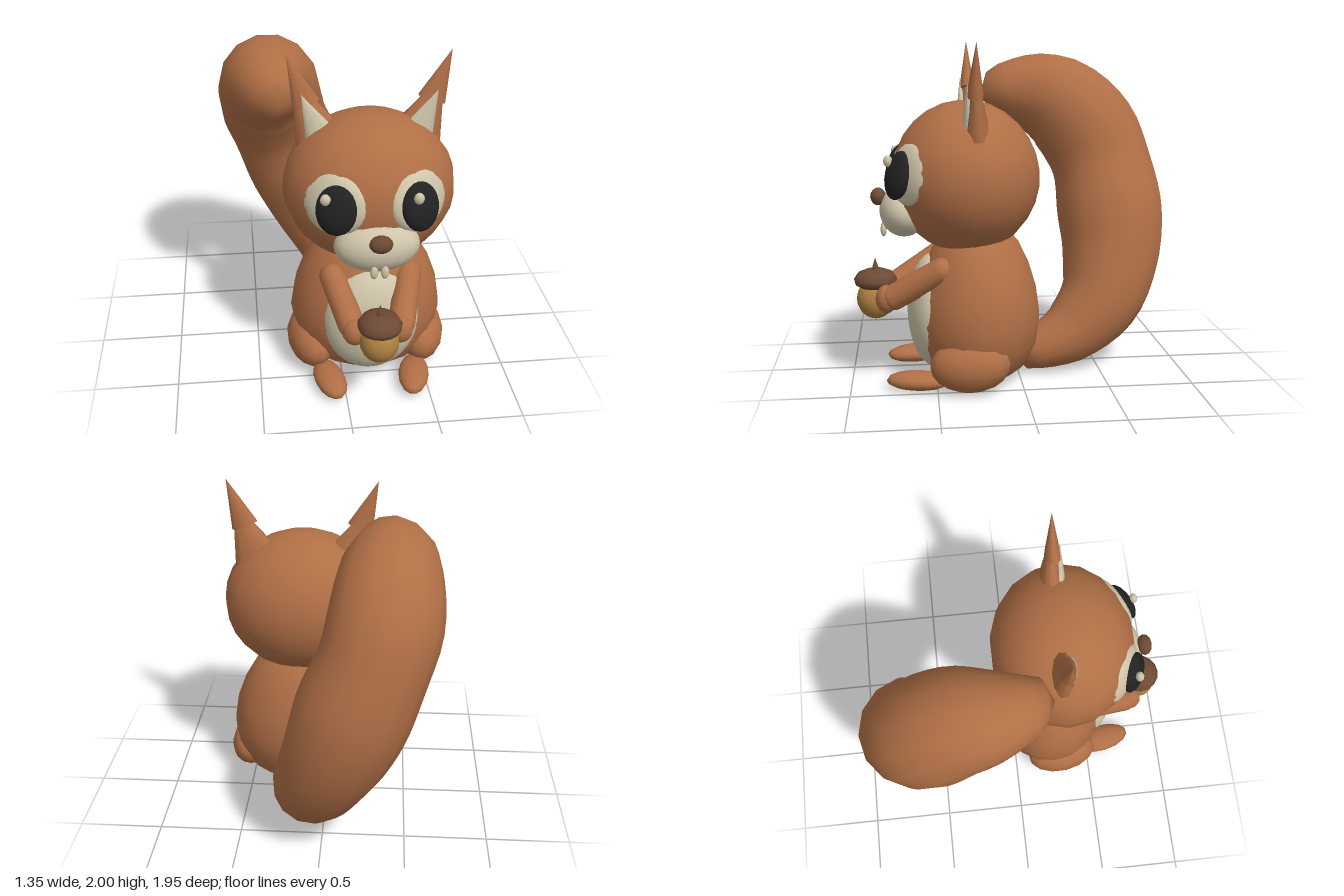
import * as THREE from 'three';
import { mergeVertices } from 'three/addons/utils/BufferGeometryUtils.js';

const material = (name, color) => {
  const m = new THREE.MeshStandardMaterial({ color });
  m.name = name;
  return m;
};

export function createModel() {
  const fur = material('russet fur', 0xb06f46);
  const cream = material('cream', 0xcfc5aa);
  const black = material('eye black', 0x222223);
  const brown = material('dark brown', 0x6d4a34);
  const nutColor = material('nut ochre', 0xae8040);

  const model = new THREE.Group();
  model.name = 'squirrel';
  const body = new THREE.Group();
  body.name = 'bodyParts';
  body.position.x = 0.168; // the tail leans to one side, so the body sits off centre
  model.add(body);

  const add = (name, geometry, mat, pos = [0, 0, 0], parent = body) => {
    const mesh = new THREE.Mesh(geometry, mat);
    mesh.name = name;
    mesh.position.set(...pos);
    parent.add(mesh);
    return mesh;
  };
  // Rotation is yaw first, then tilt
  const ellipsoid = (name, mat, pos, radii, rot = [0, 0, 0], w = 18, h = 12) => {
    const mesh = add(name, new THREE.SphereGeometry(1, w, h), mat, pos);
    mesh.scale.set(...radii);
    mesh.rotation.set(...rot, 'YXZ');
    return mesh;
  };
  // Flattened cone leaning from its base centre to its tip
  const cone = (name, mat, base, tip, radius, flat) => {
    const a = new THREE.Vector3(...base), b = new THREE.Vector3(...tip);
    const length = a.distanceTo(b);
    const g = new THREE.ConeGeometry(radius, length, 10).translate(0, length / 2, 0).scale(1, 1, flat);
    const mesh = add(name, g, mat, base);
    mesh.quaternion.setFromUnitVectors(new THREE.Vector3(0, 1, 0), b.sub(a).normalize());
  };

  // Torso
  const torso = [[0, 0.01], [0.15, 0.015], [0.28, 0.04], [0.365, 0.1], [0.435, 0.23], [0.46, 0.38], [0.435, 0.54],
    [0.38, 0.69], [0.305, 0.82], [0.2, 0.92], [0, 0.97]].map(p => new THREE.Vector2(...p));
  add('torso', new THREE.LatheGeometry(torso, 20), fur, [0, 0, 0.25]).scale.z = 0.825;
  ellipsoid('belly', cream, [0, 0.415, 0.51], [0.287, 0.342, 0.157], [0, 0, 0], 24, 16);

  // Head and face
  ellipsoid('head', fur, [0, 1.217, 0.31], [0.5, 0.449, 0.435], [0.1, 0, 0], 18, 14);
  ellipsoid('muzzle', cream, [0, 1.022, 0.675], [0.242, 0.152, 0.145], [0, 0, 0], 20, 14);
  ellipsoid('nose', brown, [0, 1.105, 0.825], [0.066, 0.052, 0.046], [0, 0, 0], 12, 8);

  for (const s of [-1, 1]) {
    const side = s > 0 ? 'left' : 'right';
    ellipsoid(side + 'Tooth', cream, [s * 0.03, 0.912, 0.797], [0.023, 0.041, 0.018], [0, 0, 0], 8, 6);

    // Eyes
    ellipsoid(side + 'EyeWhite', cream, [s * 0.228, 1.265, 0.633], [0.19, 0.18, 0.07], [-0.15, s * 0.53, 0], 20, 14);
    ellipsoid(side + 'Pupil', black, [s * 0.23, 1.26, 0.703], [0.12, 0.14, 0.055], [-0.25, s * 0.5, 0], 18, 12);
    ellipsoid(side + 'EyeGlint', cream, s < 0 ? [-0.29, 1.338, 0.725] : [0.21, 1.338, 0.76],
      [0.03, 0.034, 0.026], [0, 0, 0], 8, 6);

    // Ears with tufted tips
    cone(side + 'Ear', fur, [s * 0.28, 1.506, 0.265], [s * 0.42, 1.86, 0.275], 0.15, 0.5);
    cone(side + 'InnerEar', cream, [s * 0.275, 1.53, 0.312], [s * 0.382, 1.78, 0.32], 0.094, 0.42);
    cone(side + 'EarTuft', fur, [s * 0.354, 1.71, 0.277], [s * 0.458, 2, 0.275], 0.083, 0.58);

    // Arms and paws
    const a = new THREE.Vector3(s * 0.225, 0.7, 0.47), b = new THREE.Vector3(s * 0.145, 0.535, 0.74);
    const arm = add(side + 'Arm', new THREE.CapsuleGeometry(0.078, a.distanceTo(b), 5, 12), fur,
      a.clone().lerp(b, 0.5).toArray());
    arm.quaternion.setFromUnitVectors(new THREE.Vector3(0, 1, 0), b.clone().sub(a).normalize());
    ellipsoid(side + 'Paw', fur, [s * 0.13, 0.52, 0.785], [0.074, 0.084, 0.066], [0, 0, 0], 12, 8);

    // Legs, toes turned slightly inwards
    ellipsoid(side + 'Thigh', fur, [s * 0.345, 0.172, 0.313], [0.142, 0.157, 0.234], [0.06, s * -0.15, s * 0.12], 14, 10);
    ellipsoid(side + 'Foot', fur, [s * 0.255, 0.06, 0.612], [0.092, 0.055, 0.187], [0, s * -0.2, 0], 14, 8);
  }

  // Acorn
  ellipsoid('acornNut', nutColor, [0, 0.49, 0.852], [0.113, 0.12, 0.113], [0, 0, 0], 16, 12);
  const cap = [[0, 0.565], [0.095, 0.565], [0.12, 0.582], [0.127, 0.612], [0.105, 0.647], [0.06, 0.666], [0, 0.672]];
  add('acornCap', new THREE.LatheGeometry(cap.map(p => new THREE.Vector2(...p)), 16), brown, [0, 0, 0.852]);
  add('acornStem', new THREE.ConeGeometry(0.024, 0.08, 8), brown, [0, 0.7, 0.852]);

  // Bushy tail: a tube whose rings swell and taper; each row is x, y, z, radius
  const rows = [
    [0.17, 0.125, 0.04, 0.08], [0.165, 0.13, -0.04, 0.112], [0.15, 0.172, -0.2, 0.155], [0.105, 0.25, -0.365, 0.203],
    [0.03, 0.43, -0.54, 0.262], [-0.085, 0.69, -0.622, 0.312], [-0.18, 0.94, -0.63, 0.338],
    [-0.285, 1.21, -0.595, 0.32], [-0.345, 1.42, -0.51, 0.328], [-0.365, 1.585, -0.36, 0.31],
    [-0.38, 1.66, -0.2, 0.274], [-0.365, 1.685, -0.03, 0.21], [-0.335, 1.68, 0.1, 0.148], [-0.33, 1.66, 0.19, 0.075],
  ];
  const path = new THREE.CatmullRomCurve3(rows.map(r => new THREE.Vector3(r[0], r[1], r[2])), false, 'catmullrom', 0.5);
  const swell = new THREE.SplineCurve(rows.map(r => new THREE.Vector2(r[3], 0)));
  const rings = 36, sides = 14;
  let tail = new THREE.TubeGeometry(path, rings, 1, sides);
  const pos = tail.attributes.position, v = new THREE.Vector3();
  for (let i = 0; i <= rings; i++) {
    const centre = path.getPointAt(i / rings);
    const radius = i === 0 || i === rings ? 0 : swell.getPoint(path.getUtoTmapping(i / rings)).x;
    for (let j = 0; j <= sides; j++) {
      const k = i * (sides + 1) + j;
      v.fromBufferAttribute(pos, k).sub(centre).multiplyScalar(radius).add(centre);
      pos.setXYZ(k, v.x, v.y, v.z);
    }
  }
  tail.deleteAttribute('uv');
  tail.deleteAttribute('normal');
  tail = mergeVertices(tail, 1e-4);
  tail.computeVertexNormals();
  add('tail', tail, fur, [0, 0, 0], model);

  return model;
}
